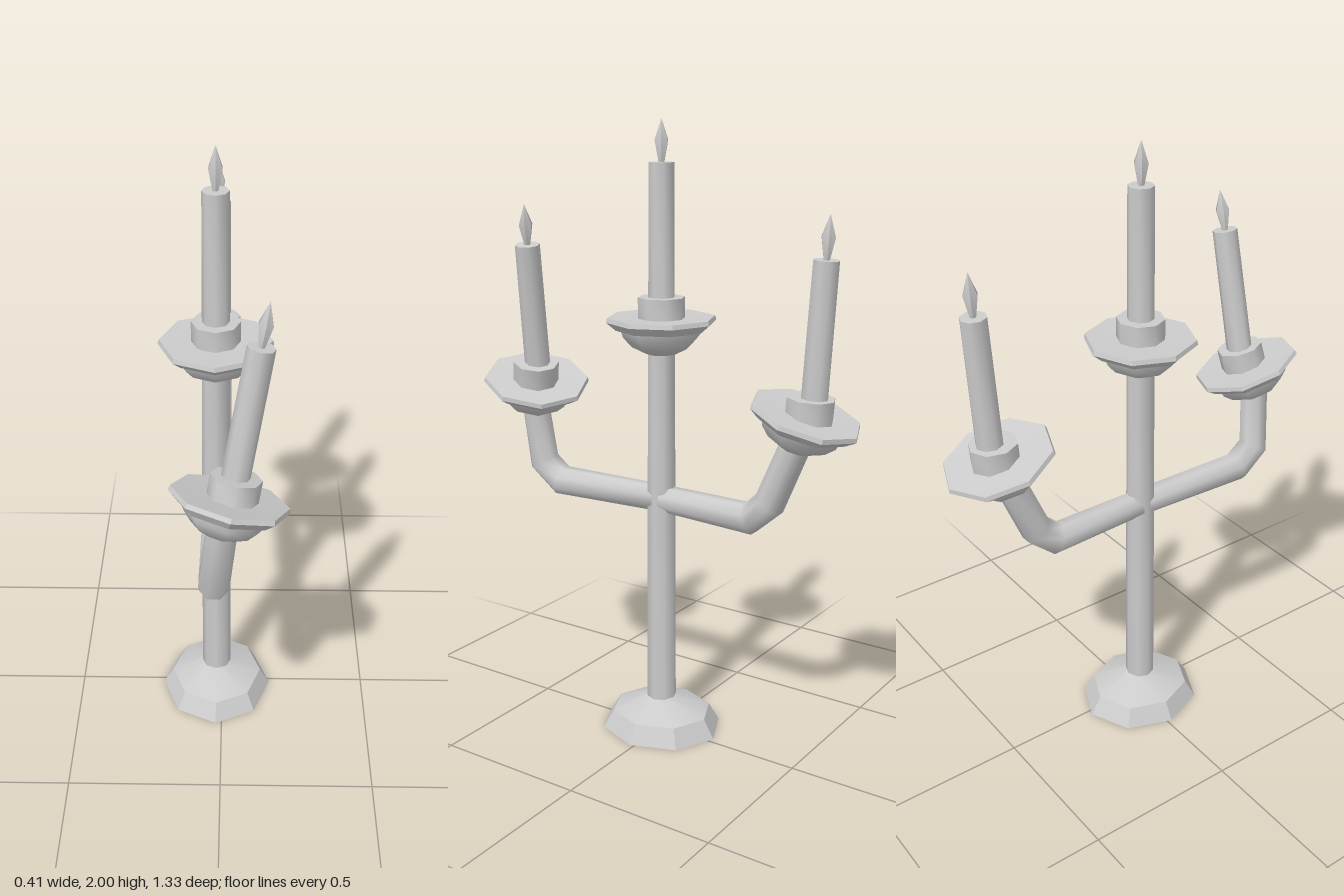
import * as THREE from 'three';
import { toCreasedNormals } from 'three/addons/utils/BufferGeometryUtils.js';

const material = new THREE.MeshStandardMaterial({ color: 0xcccccc, side: THREE.DoubleSide });
const UP = new THREE.Vector3(0, 1, 0);
const AXIS_X = -0.02, AXIS_Z = 0.015;

// Turned part from [radius, height] pairs
function turned(name, profile, sides = 8, crease = 0.9) {
  const points = profile.map(([r, y]) => new THREE.Vector2(r, y));
  const mesh = new THREE.Mesh(toCreasedNormals(new THREE.LatheGeometry(points, sides), crease), material);
  mesh.name = name;
  return mesh;
}

// Places a part at a point with its axis along a direction
function place(part, position, axis) {
  part.position.set(...position);
  part.quaternion.setFromUnitVectors(UP, new THREE.Vector3(...axis).normalize());
  return part;
}

// Eight-sided rod with mitred corners, lying nearly in the y-z plane
function rod(name, path, radii, sides = 8) {
  const pts = path.map((p) => new THREE.Vector3(...p));
  const positions = [], index = [];
  const X = new THREE.Vector3(1, 0, 0);
  pts.forEach((p, i) => {
    const into = p.clone().sub(pts[Math.max(i - 1, 0)]).normalize();
    const out = pts[Math.min(i + 1, pts.length - 1)].clone().sub(p).normalize();
    const tangent = into.clone().add(out).normalize();
    const stretch = 1 / Math.max(0.5, tangent.dot(out.lengthSq() ? out : into));
    const normal = tangent.clone().cross(X).normalize();
    const side = normal.clone().cross(tangent);
    for (let j = 0; j < sides; j++) {
      const a = ((j + 0.5) / sides) * Math.PI * 2;
      const v = p.clone().addScaledVector(side, Math.cos(a) * radii[i])
        .addScaledVector(normal, Math.sin(a) * radii[i] * stretch);
      positions.push(v.x, v.y, v.z);
      if (i > 0) {
        const k = (j + 1) % sides, b = (i - 1) * sides, t = i * sides;
        index.push(b + j, b + k, t + j, b + k, t + k, t + j);
      }
    }
  });
  const geometry = new THREE.BufferGeometry();
  geometry.setAttribute('position', new THREE.Float32BufferAttribute(positions, 3));
  geometry.setIndex(index);
  geometry.computeVertexNormals();
  const mesh = new THREE.Mesh(geometry, material);
  mesh.name = name;
  return mesh;
}

// Bowl, drip plate, holder, candle and flame, each with its own lean
function candleSet(name, { plate, plateAxis, holder, holderAxis, candle, candleAxis }) {
  const set = new THREE.Group();
  set.name = name;
  const cup = new THREE.Group();
  cup.name = 'cup';
  cup.add(
    turned('bowl', [[0, -0.1], [0.05, -0.098], [0.095, -0.075], [0.122, -0.045], [0.13, -0.02]]),
    turned('dripPlate', [[0.1, -0.026], [0.145, -0.022], [0.176, 0.004], [0.172, 0.018], [0.07, 0.014], [0, 0.014]], 8, 0.5),
  );
  const light = new THREE.Group();
  light.name = 'light';
  light.add(
    turned('candle', [[0, 0], [0.042, 0], [0.04, 0.44], [0, 0.44]]),
    turned('flame', [[0.01, 0.44], [0.023, 0.505], [0, 0.57]], 6),
  );
  const socket = turned('holder', [[0.075, -0.04], [0.075, 0.035], [0, 0.035]]);
  set.add(place(cup, plate, plateAxis), place(socket, holder, holderAxis), place(light, candle, candleAxis));
  return set;
}

export function createModel() {
  const model = new THREE.Group();
  model.name = 'candelabrum';

  // Hollow foot, slightly longer front to back
  const foot = turned('foot', [[0.2, 0], [0.165, 0.06], [0.045, 0.11]], 8, 0.4);
  foot.scale.set(0.94, 1, 1.035);
  foot.position.set(AXIS_X, 0, AXIS_Z);
  model.add(foot);

  // Central post
  const post = turned('post', [[0.049, 0.1], [0.046, 0.8], [0.043, 1.3]]);
  post.position.set(AXIS_X, 0, AXIS_Z);
  model.add(post);

  // Bent arms
  model.add(rod('frontArm',
    [[AXIS_X, 0.805, 0], [AXIS_X, 0.797, 0.425], [-0.018, 0.855, 0.5], [0.008, 1.08, 0.515]],
    [0.044, 0.049, 0.049, 0.047]));
  model.add(rod('backArm',
    [[AXIS_X, 0.805, 0.02], [AXIS_X, 0.797, -0.315], [AXIS_X, 0.858, -0.385], [AXIS_X, 1.08, -0.48]],
    [0.044, 0.049, 0.049, 0.047]));

  // Upright middle candle and two leaning ones
  model.add(candleSet('middleCandle', {
    plate: [AXIS_X, 1.38, AXIS_Z], plateAxis: [0, 1, 0],
    holder: [AXIS_X, 1.425, AXIS_Z], holderAxis: [0, 1, 0],
    candle: [AXIS_X, 1.43, AXIS_Z], candleAxis: [0, 1, 0],
  }));
  model.add(candleSet('frontCandle', {
    plate: [0.025, 1.14, 0.492], plateAxis: [0.22, 1, -0.28],
    holder: [0.04, 1.18, 0.48], holderAxis: [0.17, 1, -0.2],
    candle: [0.037, 1.175, 0.473], candleAxis: [0.165, 1, -0.065],
  }));
  model.add(candleSet('backCandle', {
    plate: [AXIS_X, 1.14, -0.498], plateAxis: [0, 1, -0.32],
    holder: [AXIS_X, 1.172, -0.513], holderAxis: [0, 1, -0.08],
    candle: [AXIS_X, 1.172, -0.525], candleAxis: [0, 1, -0.06],
  }));
  return model;
}
